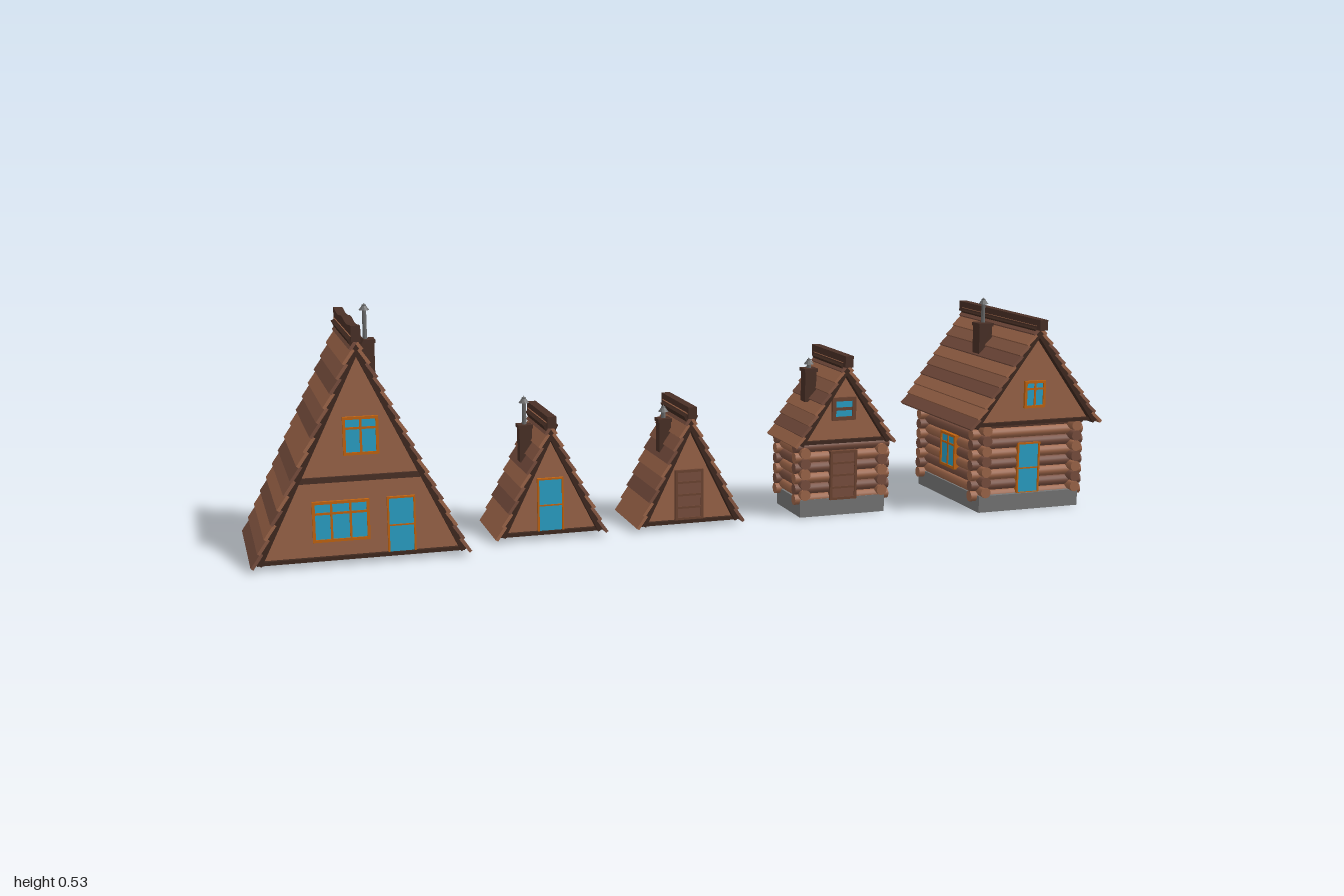
import * as THREE from 'three';

const mat = (color, side = THREE.FrontSide) => new THREE.MeshStandardMaterial({ color, side, flatShading: true });
const WOODS = [0xa0674a, 0x7a4f3f, 0x8c5b45].map((c) => mat(c));
const GABLE = mat(0x9c6549), DARK = mat(0x40291f), BEAM = mat(0x4a3026), STONE = mat(0x777777), METAL = mat(0x6c6c6c);
const ORANGE = mat(0xc4650f), BROWN = mat(0x6e4532), GLASS = mat(0x2aa2c8);
const LOGS = [0xa0674a, 0x7a4f3f].map((c) => {
  const m = mat(c);
  m.flatShading = false;
  return m;
});
const TONES = [0, 0, 1, 2, 0, 1, 0, 2, 1, 0, 2, 1];

function add(parent, name, geo, material, x = 0, y = 0, z = 0) {
  const m = new THREE.Mesh(geo, material);
  m.name = name;
  m.position.set(x, y, z);
  parent.add(m);
  return m;
}
const box = (p, name, w, h, d, m, x, y, z) => add(p, name, new THREE.BoxGeometry(w, h, d), m, x, y, z);

// Framed opening centred on its own origin, facing +z; panes split by mullions and transoms
function opening(name, w, h, { frame = ORANGE, fill = GLASS, cols = 1, bars = [], t = 0.006 } = {}) {
  const g = new THREE.Group();
  g.name = name;
  box(g, 'pane', w - t, h - t, 0.008, fill);
  for (const s of [-1, 1]) {
    box(g, 'frameSide', t, h, 0.014, frame, s * (w - t) / 2);
    box(g, 'frameRail', w, t, 0.014, frame, 0, s * (h - t) / 2);
  }
  for (let i = 1; i < cols; i++) box(g, 'mullion', t * 0.8, h - t, 0.012, frame, -w / 2 + (i * w) / cols);
  for (const b of bars) box(g, 'transom', w - t, t * 0.8, 0.012, frame, 0, (b - 0.5) * h);
  return g;
}
const windowPart = (w, h, cols, frame) => opening('window', w, h, { cols, bars: [0.7], frame });
const glassDoor = () => opening('door', 0.06, 0.125, { bars: [0.5], t: 0.004 });
const plankDoor = () => opening('door', 0.068, 0.118, { frame: BROWN, fill: WOODS[1], bars: [0.25, 0.5, 0.75] });
const shutter = (w, h) => opening('shutter', w, h, { frame: BROWN, fill: WOODS[1], bars: [0.25, 0.5, 0.75] });

function place(house, part, x, y, z, turn = 0) {
  part.position.set(x, y, z);
  part.rotation.y = turn;
  house.add(part);
}

// Gable roof: overlapping planks over a dark lining, with gable walls, floor and ridge
function roof(house, { hw, y0, y1, hd, n, ridge, ridgeD, wave = 0 }) {
  const H = y1 - y0, L = Math.hypot(hw, H), slope = Math.atan2(H, hw), step = L / n, t = 0.007;
  for (const s of [-1, 1]) {
    const side = new THREE.Group();
    side.name = 'roofSlope';
    side.position.set(0, y1, 0);
    side.rotation.z = -s * slope;
    house.add(side);
    box(side, 'lining', L - 0.012, 0.012, 2 * hd - 0.006, DARK, s * (L / 2 - 0.004), -0.014, 0);
    for (let i = 0; i < n; i++) {
      const p = box(side, 'roofPlank', step * 1.12, t, 2 * hd, WOODS[TONES[(i + (s < 0 ? 5 : 0)) % 12]],
        s * (i + 0.47) * step, -t * 0.8, 0);
      p.rotation.z = s * Math.atan2(t * 0.75, step);
    }
  }
  const bw = hw - 0.013, top = y1 - 0.016;
  const tri = new THREE.Shape([[-bw, y0 + 0.004], [bw, y0 + 0.004], [0, top]].map((p) => new THREE.Vector2(...p)));
  const wall = new THREE.ExtrudeGeometry(tri, { depth: 0.01, bevelEnabled: false });
  const gz = hd - 0.02;
  add(house, 'frontGable', wall, GABLE, 0, 0, gz - 0.01);
  add(house, 'backGable', wall, GABLE, 0, 0, -gz);
  box(house, 'floor', 2 * bw, 0.008, 2 * hd - 0.02, DARK, 0, y0 + 0.005, 0);

  // Ridge board, its top gently wavy on the tall house
  const low = y1 - 0.015, rg = new THREE.BoxGeometry(0.02, ridge - low, 2 * ridgeD, 1, 1, wave ? 16 : 1);
  const v = rg.attributes.position;
  for (let i = 0; i < v.count; i++) {
    if (wave && v.getY(i) > 0) v.setY(i, v.getY(i) - wave * (0.5 - 0.5 * Math.cos((v.getZ(i) / ridgeD) * Math.PI * 2)));
  }
  add(house, 'ridgeBoard', rg, BEAM, 0, (ridge + low) / 2, 0);
  return gz;
}

function chimney(house, x, z, low, high, top, w = 0.028) {
  const g = new THREE.Group();
  g.name = 'chimney';
  g.position.set(x, 0, z);
  house.add(g);
  box(g, 'stack', w, high - low, w, BEAM, 0, (low + high) / 2, 0);
  box(g, 'stackRim', w + 0.005, 0.008, w + 0.005, BEAM, 0, high - 0.004, 0);
  add(g, 'pipe', new THREE.CylinderGeometry(0.0048, 0.0048, top - high, 10), METAL, 0, (top + high) / 2 - 0.004, 0);
  add(g, 'pipeCap', new THREE.ConeGeometry(0.012, 0.016, 10), METAL, 0, top - 0.008, 0);
}

// Crossed-log walls on a stone base; wx, wz are wall lines, lx, lz are log half lengths
function logWalls(house, { wx, wz, lx, lz, base, y0, rows, fx, fz }) {
  const r = 0.0128;
  box(house, 'foundation', 2 * fx, base, 2 * fz, STONE, 0, base / 2, 0);
  const height = (rows - 1) * 0.025;
  box(house, 'wallCore', 2 * wx, height, 2 * wz, DARK, 0, y0 + height / 2, 0);
  const across = new THREE.CylinderGeometry(r, r, 2 * lx, 14).rotateZ(Math.PI / 2);
  const along = new THREE.CylinderGeometry(r, r, 2 * lz, 14).rotateX(Math.PI / 2);
  for (let i = 0; i < rows; i++) {
    for (const s of [-1, 1]) {
      add(house, 'crossLog', across, LOGS[i % 2], 0, y0 + i * 0.025, s * wz);
      if (i < rows - 1) add(house, 'sideLog', along, LOGS[i % 2], s * wx, y0 + 0.0125 + i * 0.025, 0);
    }
  }
}

function createHouse(root, name, x) {
  const g = new THREE.Group();
  g.name = name;
  g.position.x = x;
  root.add(g);
  return g;
}

export function createModel() {
  const root = new THREE.Group();
  root.name = 'cabinRow';
  const B = Math.PI;

  // Tall two-storey A-frame
  const tall = createHouse(root, 'tallAFrame', -0.767);
  let z = roof(tall, { hw: 0.232, y0: 0.01, y1: 0.492, hd: 0.165, n: 16, ridge: 0.511, ridgeD: 0.168, wave: 0.006 });
  for (const s of [-1, 1]) {
    box(tall, 'storeyBeam', 0.275, 0.012, 0.014, BEAM, 0, 0.185, s * z);
    place(tall, windowPart(0.075, 0.082, 2), 0.005, 0.276, s * z, s < 0 ? B : 0);
    place(tall, windowPart(0.12, 0.088, 3), -0.042, 0.095, s * z, s < 0 ? B : 0);
  }
  place(tall, glassDoor(), 0.085, 0.077, z);
  place(tall, windowPart(0.075, 0.088, 2), 0.08, 0.095, -z, B);
  chimney(tall, 0.047, -0.07, 0.35, 0.45, 0.53, 0.036);

  // Small A-frame with glazed door
  const small = createHouse(root, 'smallAFrame', -0.339);
  z = roof(small, { hw: 0.129, y0: 0.01, y1: 0.272, hd: 0.094, n: 9, ridge: 0.283, ridgeD: 0.104 });
  place(small, glassDoor(), 0, 0.077, z);
  place(small, windowPart(0.066, 0.08, 2), 0, 0.1, -z, B);
  chimney(small, -0.04, 0, 0.165, 0.25, 0.315);

  // Small A-frame with plank door and shutters
  const plank = createHouse(root, 'plankAFrame', -0.012);
  z = roof(plank, { hw: 0.13, y0: 0.01, y1: 0.274, hd: 0.094, n: 9, ridge: 0.286, ridgeD: 0.104 });
  place(plank, plankDoor(), 0, 0.077, z);
  place(plank, shutter(0.08, 0.075), 0, 0.1, -z, B);
  chimney(plank, -0.038, 0, 0.165, 0.245, 0.276);

  // Small log cabin
  const hut = createHouse(root, 'smallLogCabin', 0.372);
  logWalls(hut, { wx: 0.098, wz: 0.062, lx: 0.12, lz: 0.084, base: 0.042, y0: 0.042, rows: 6, fx: 0.108, fz: 0.076 });
  z = roof(hut, { hw: 0.129, y0: 0.174, y1: 0.373, hd: 0.092, n: 8, ridge: 0.385, ridgeD: 0.104 });
  place(hut, plankDoor(), 0, 0.097, 0.074);
  place(hut, opening('gableWindow', 0.06, 0.055, { frame: BROWN, bars: [0.5], t: 0.009 }), 0, 0.256, z);
  place(hut, shutter(0.06, 0.055), 0, 0.256, -z, B);
  place(hut, opening('window', 0.085, 0.065, { frame: BROWN, bars: [0.5], t: 0.01 }), 0, 0.11, -0.074, B);
  chimney(hut, -0.06, 0, 0.265, 0.345, 0.37);

  // Large log cabin
  const cabin = createHouse(root, 'largeLogCabin', 0.821);
  logWalls(cabin, { wx: 0.12, wz: 0.14, lx: 0.148, lz: 0.172, base: 0.04, y0: 0.037, rows: 8, fx: 0.133, fz: 0.163 });
  z = roof(cabin, { hw: 0.176, y0: 0.211, y1: 0.454, hd: 0.19, n: 10, ridge: 0.464, ridgeD: 0.205 });
  place(cabin, glassDoor(), 0, 0.1, 0.15);
  for (const s of [-1, 1]) {
    place(cabin, windowPart(0.055, 0.065, 2), 0, 0.283, s * z, s < 0 ? B : 0);
    place(cabin, windowPart(0.078, 0.085, 2), s * 0.131, 0.122, 0, s * B / 2);
  }
  place(cabin, windowPart(0.125, 0.085, 3), 0, 0.122, -0.15, B);
  chimney(cabin, -0.051, 0, 0.36, 0.435, 0.497, 0.034);

  return root;
}
